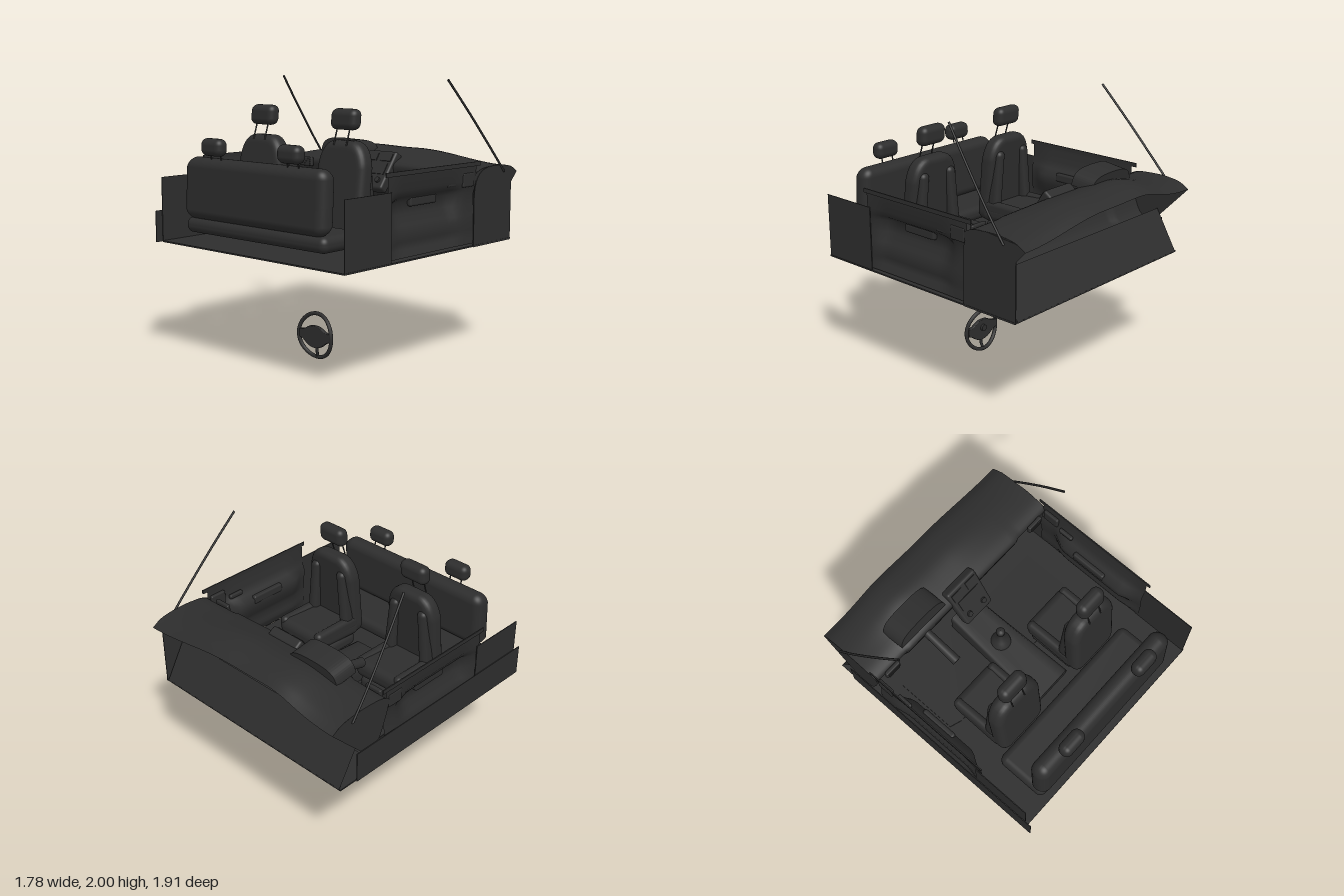
import * as THREE from 'three';
import { mergeVertices } from 'three/addons/utils/BufferGeometryUtils.js';
import { RoundedBoxGeometry } from 'three/addons/geometries/RoundedBoxGeometry.js';

const trim = new THREE.MeshStandardMaterial({ color: 0x2d2d2d, side: THREE.DoubleSide });
trim.name = 'charcoal trim';

export function createModel() {
  const root = new THREE.Group();
  root.name = 'carInterior';

  const add = (name, geo, x = 0, y = 0, z = 0, parent = root) => {
    const m = new THREE.Mesh(geo, trim);
    m.name = name;
    m.position.set(x, y, z);
    parent.add(m);
    return m;
  };
  const box = (name, x0, x1, y0, y1, z0, z1, parent) =>
    add(name, new THREE.BoxGeometry(Math.abs(x1 - x0), y1 - y0, z1 - z0), (x0 + x1) / 2, (y0 + y1) / 2, (z0 + z1) / 2, parent);
  // Move every vertex of a geometry by a rule
  const reshape = (g, rule) => {
    const p = g.attributes.position, v = new THREE.Vector3();
    for (let i = 0; i < p.count; i++) {
      rule(v.fromBufferAttribute(p, i));
      p.setXYZ(i, v.x, v.y, v.z);
    }
    return g;
  };
  const cushion = (name, w, h, d, r, x, y, z, parent, rule = () => {}) =>
    add(name, reshape(new RoundedBoxGeometry(w, h, d, 6, r), rule), x, y, z, parent);
  const tube = (name, pts, r, parent, seg = 16) =>
    add(name, new THREE.TubeGeometry(new THREE.CatmullRomCurve3(pts.map(p => new THREE.Vector3(...p))), seg, r, 8), 0, 0, 0, parent);
  // Open skin from a function of two parameters
  const skin = (name, nu, nv, fn, parent) => {
    const pos = [], idx = [];
    for (let i = 0; i <= nu; i++) for (let j = 0; j <= nv; j++) {
      pos.push(...fn(i / nu, j / nv));
      if (i < nu && j < nv) {
        const a = i * (nv + 1) + j, b = a + nv + 1;
        idx.push(a, b, a + 1, b, b + 1, a + 1);
      }
    }
    const g = new THREE.BufferGeometry();
    g.setAttribute('position', new THREE.Float32BufferAttribute(pos, 3));
    g.setIndex(idx);
    g.computeVertexNormals();
    return add(name, g, 0, 0, 0, parent);
  };
  const smooth = THREE.MathUtils.smoothstep;
  const side = (name, s) => (s > 0 ? 'left' : 'right') + name;

  // Floor, sloping toe board and mats
  box('floor', -0.87, 0.88, 0.836, 0.846, -0.88, 0.91);
  skin('toeBoard', 1, 1, (u, v) => [-0.86 + 1.72 * u, 0.845 + 0.29 * v, -0.88 + 0.17 * v]);
  for (const s of [1, -1]) {
    const mat = new THREE.Shape([[0.17, 0.45], [0.69, 0.45], [0.69, -0.03], [0.6, -0.06], [0.17, -0.06]].map(p => new THREE.Vector2(s * p[0], p[1])));
    add(side('FloorMat', s), new THREE.ExtrudeGeometry(mat, { depth: 0.008, bevelEnabled: false }), 0, 0.846, 0).rotation.x = -Math.PI / 2;
  }

  // Dashboard: section swept across the car, crowned in the middle
  const section = new THREE.CatmullRomCurve3([
    [0, 1.325, -0.955], [0, 1.365, -0.88], [0, 1.385, -0.76], [0, 1.385, -0.62], [0, 1.37, -0.5],
    [0, 1.335, -0.44], [0, 1.27, -0.45], [0, 1.18, -0.48], [0, 1.06, -0.54], [0, 1.02, -0.66],
  ].map(p => new THREE.Vector3(...p)));
  skin('dashboard', 48, 40, (u, v) => {
    const x = -0.875 + 1.75 * u, p = section.getPoint(v), a = Math.abs(x);
    const crown = 0.075 * (1 - smooth(a, 0.1, 0.85)) + 0.025 * Math.exp(-(((x + 0.38) / 0.18) ** 2));
    const rise = smooth(p.y, 1.2, 1.34) * (0.25 + 0.75 * smooth(-p.z, 0.44, 0.76));
    return [x, p.y + crown * rise, p.z + 0.012 * (1 - a / 0.875) * (1 - v) - 0.02 * smooth(a, 0.55, 0.1) * v];
  });
  const cap = new THREE.Shape(section.getPoints(40).map(p => new THREE.Vector2(-p.z, p.y)));
  for (const s of [1, -1]) add('dashboardEnd', new THREE.ShapeGeometry(cap), s * 0.875).rotation.y = Math.PI / 2;

  // Instrument hood and steering column
  const arch = new THREE.Shape();
  arch.moveTo(-0.215, 0);
  arch.bezierCurveTo(-0.21, 0.09, -0.16, 0.112, 0, 0.112);
  arch.bezierCurveTo(0.16, 0.112, 0.21, 0.09, 0.215, 0);
  const hood = new THREE.ExtrudeGeometry(arch, { depth: 0.18, bevelEnabled: false, curveSegments: 14 });
  add('instrumentHood', hood, -0.385, 1.392, -0.635).rotation.x = -0.13;
  const column = add('steeringColumn', new THREE.CylinderGeometry(0.035, 0.03, 0.3, 20), -0.38, 1.28, -0.31);
  column.rotation.x = Math.PI / 2 + 0.25;

  // Centre stack with screen, vents and buttons
  const stack = new THREE.Group();
  stack.name = 'centreStack';
  stack.position.set(0.01, 1.3, -0.42);
  stack.rotation.x = -0.6;
  root.add(stack);
  cushion('stackBody', 0.29, 0.32, 0.08, 0.02, 0, 0, 0, stack, v => { v.x *= 0.92 + 0.25 * v.y; });
  box('stackScreen', -0.1, 0.1, -0.04, 0.05, 0.038, 0.046, stack);
  for (const s of [1, -1]) {
    box('stackVent', s * 0.02, s * 0.115, 0.07, 0.13, 0.038, 0.047, stack);
    const knob = add('stackKnob', new THREE.CylinderGeometry(0.02, 0.022, 0.02, 16), s * 0.07, -0.09, 0.045, stack);
    knob.rotation.x = Math.PI / 2;
  }

  // Centre tunnel, widening and falling to the rear, and the gear lever
  skin('centreTunnel', 1, 7, (u, v) => {
    const w = 0.125 + 0.04 * u, h = 0.17 - 0.11 * u;
    const q = [[-1, 0], [-1, 0.85], [-0.9, 1], [-0.5, 1], [0.5, 1], [0.9, 1], [1, 0.85], [1, 0]][Math.round(v * 7)];
    return [0.01 + q[0] * w, 0.845 + q[1] * h, -0.48 + 0.86 * u];
  });
  box('tunnelEnd', -0.15, 0.17, 0.845, 0.902, 0.372, 0.38);
  const lever = [[0.075, 0], [0.07, 0.02], [0.045, 0.05], [0.015, 0.09], [0.012, 0.14], [0.03, 0.16], [0.032, 0.19], [0.02, 0.21], [0, 0.213]];
  add('gearLever', new THREE.LatheGeometry(lever.map(p => new THREE.Vector2(...p)), 24), 0.01, 0.96, -0.11);

  // Kick panel on one side, with a rounded upper rear corner
  const kick = new THREE.Shape();
  kick.moveTo(0.43, 0.832);
  kick.lineTo(0.88, 0.832);
  kick.lineTo(0.88, 1.365);
  kick.lineTo(0.65, 1.385);
  kick.bezierCurveTo(0.52, 1.385, 0.435, 1.34, 0.43, 1.18);
  add('leftKickPanel', new THREE.ExtrudeGeometry(kick, { depth: 0.006, bevelEnabled: false }), 0.872).rotation.y = Math.PI / 2;

  // Outer sill on the other side
  box('rightSill', -0.884, -0.878, 0.84, 1.065, -0.74, 0.96);

  // Front seat back: rounded outline, bevelled all round and leaning
  const outline = new THREE.Shape();
  outline.moveTo(-0.13, 1.0);
  outline.lineTo(0.13, 1.0);
  outline.quadraticCurveTo(0.16, 1.0, 0.16, 1.05);
  outline.lineTo(0.162, 1.42);
  outline.bezierCurveTo(0.15, 1.5, 0.12, 1.55, 0.07, 1.55);
  outline.lineTo(-0.07, 1.55);
  outline.bezierCurveTo(-0.12, 1.55, -0.15, 1.5, -0.162, 1.42);
  outline.lineTo(-0.16, 1.05);
  outline.quadraticCurveTo(-0.16, 1.0, -0.13, 1.0);
  let backGeo = new THREE.ExtrudeGeometry(outline, { depth: 0.03, bevelSize: 0.05, bevelThickness: 0.05, bevelSegments: 6, curveSegments: 8 });
  backGeo.deleteAttribute('normal');
  backGeo.deleteAttribute('uv');
  backGeo = reshape(mergeVertices(backGeo, 1e-4), v => { v.z += 0.37 - 0.1 * (v.y - 1.2); });
  backGeo.computeVertexNormals();

  for (const s of [1, -1]) {
    // Dashboard end vents
    const vent = new THREE.Group();
    vent.name = side('EndVent', s);
    vent.position.set(s * 0.735, 1.325, -0.43);
    root.add(vent);
    cushion('ventFrame', 0.13, 0.07, 0.03, 0.01, 0, 0, 0, vent);
    for (let i = -1; i <= 1; i++) box('ventSlat', -0.05, 0.05, i * 0.017 - 0.004, i * 0.017 + 0.004, 0.014, 0.021, vent);

    // Door trim moulded from its height profile
    const door = new THREE.Group();
    door.name = side('Door', s);
    root.add(door);
    const profile = [[0.865, 0.86], [0.84, 0.91], [0.83, 0.94], [0.84, 0.96], [0.84, 1.02], [0.82, 1.06], [0.785, 1.13], [0.775, 1.21], [0.83, 1.25], [0.86, 1.3], [0.87, 1.42]];
    skin('doorTrim', 24, 10, (u, v) => {
      const [x, y] = profile[Math.round(v * 10)], z = -0.46 + 0.95 * u;
      const f = smooth(z, -0.36, -0.18) * (1 - smooth(z, 0.32, 0.48));
      return [s * (0.87 - (0.87 - x) * (0.25 + 0.75 * f)), y, z];
    }, door);
    box('doorTopRail', s * 0.868, s * 0.876, 1.4, 1.43, -0.5, 0.515, door);
    cushion('pullCup', 0.04, 0.065, 0.28, 0.015, s * 0.79, 1.208, 0.045, door);
    cushion('doorHandle', 0.03, 0.035, 0.12, 0.012, s * 0.84, 1.29, -0.22, door);
    cushion('mirrorPod', 0.03, 0.1, 0.13, 0.012, s * 0.858, 1.31, -0.375, door);

    // Rear quarter panel and windscreen pillar
    box(side('QuarterPanel', s), s * 0.87, s * 0.876, 0.845, 1.302, 0.46, 0.906);
    tube(side('Pillar', s), [[s * 0.882, 1.335, -0.785], [s * 0.865, 1.5, -0.645], [s * 0.83, 1.75, -0.437], [s * 0.786, 1.995, -0.232]], 0.008);

    // Front seat
    const seat = new THREE.Group();
    seat.name = side('FrontSeat', s);
    seat.position.x = s * 0.387;
    root.add(seat);
    cushion('seatBase', 0.37, 0.11, 0.4, 0.045, 0, 0.912, 0.2, seat);
    cushion('seatCushion', 0.42, 0.14, 0.46, 0.06, 0, 1.02, 0.2, seat, v => { v.y += v.z < 0 ? 0.02 : 0; });
    add('seatBack', backGeo, 0, 0, 0, seat);
    for (const b of [1, -1]) {
      cushion('backBolster', 0.08, 0.46, 0.1, 0.038, b * 0.165, 1.27, 0.315, seat, v => { v.x -= b * 0.04 * smooth(v.y, 0, 0.23); });
      cushion('cushionBolster', 0.07, 0.1, 0.42, 0.034, b * 0.175, 1.07, 0.19, seat);
      tube('headrestPost', [[b * 0.056, 1.57, 0.412], [b * 0.056, 1.7, 0.37]], 0.005, seat, 2);
    }
    cushion('headrest', 0.225, 0.14, 0.1, 0.045, 0, 1.74, 0.352, seat, v => { v.z -= 0.1 * v.y; });

    // Rear headrest
    cushion(side('RearHeadrest', s), 0.2, 0.12, 0.1, 0.045, s * 0.368, 1.54, 0.852);
    for (const b of [1, -1]) tube('rearHeadrestPost', [[s * 0.368 + b * 0.05, 1.43, 0.825], [s * 0.368 + b * 0.05, 1.51, 0.845]], 0.005, root, 2);
  }

  // Rear bench
  cushion('rearBenchCushion', 1.34, 0.11, 0.42, 0.05, 0, 0.982, 0.66, root, v => { v.z += v.z < 0 ? 0.03 * (v.x / 0.67) ** 2 : 0; });
  cushion('rearBenchBack', 1.36, 0.43, 0.14, 0.068, 0, 1.245, 0.812, root, v => {
    v.x *= 1 - 0.04 * smooth(Math.abs(v.y), 0.1, 0.215);
    v.z -= 0.05 * v.y;
  });

  // Steering wheel with a bowed rim, lying below the cabin
  const wheel = new THREE.Group();
  wheel.name = 'steeringWheel';
  wheel.position.set(0, 0.174, 0.228);
  root.add(wheel);
  const rim = [];
  for (let i = 0; i < 32; i++) {
    const a = i / 32 * Math.PI * 2;
    rim.push(new THREE.Vector3(0.159 * Math.cos(a), 0.159 * Math.sin(a), 0.026 * Math.cos(a) ** 2));
  }
  add('wheelRim', new THREE.TubeGeometry(new THREE.CatmullRomCurve3(rim, true), 64, 0.0145, 10, true), 0, 0, 0, wheel);
  const hub = new THREE.Shape();
  hub.moveTo(0, 0.07);
  hub.bezierCurveTo(0.08, 0.07, 0.07, 0.03, 0.145, 0.03);
  hub.lineTo(0.145, -0.025);
  hub.bezierCurveTo(0.09, -0.03, 0.08, -0.085, 0, -0.085);
  hub.bezierCurveTo(-0.08, -0.085, -0.09, -0.03, -0.145, -0.025);
  hub.lineTo(-0.145, 0.03);
  hub.bezierCurveTo(-0.07, 0.03, -0.08, 0.07, 0, 0.07);
  add('wheelHub', new THREE.ExtrudeGeometry(hub, { depth: 0.014, bevelSize: 0.004, bevelThickness: 0.006, bevelSegments: 3 }), 0, 0, 0.014, wheel);
  tube('wheelLowerSpoke', [[0.012, -0.07, 0.02], [0.012, -0.12, 0.014], [0.004, -0.155, 0.002]], 0.011, wheel);
  add('wheelBoss', new THREE.CylinderGeometry(0.025, 0.025, 0.025, 20), 0, 0.01, 0.002, wheel).rotation.x = Math.PI / 2;

  return root;
}
